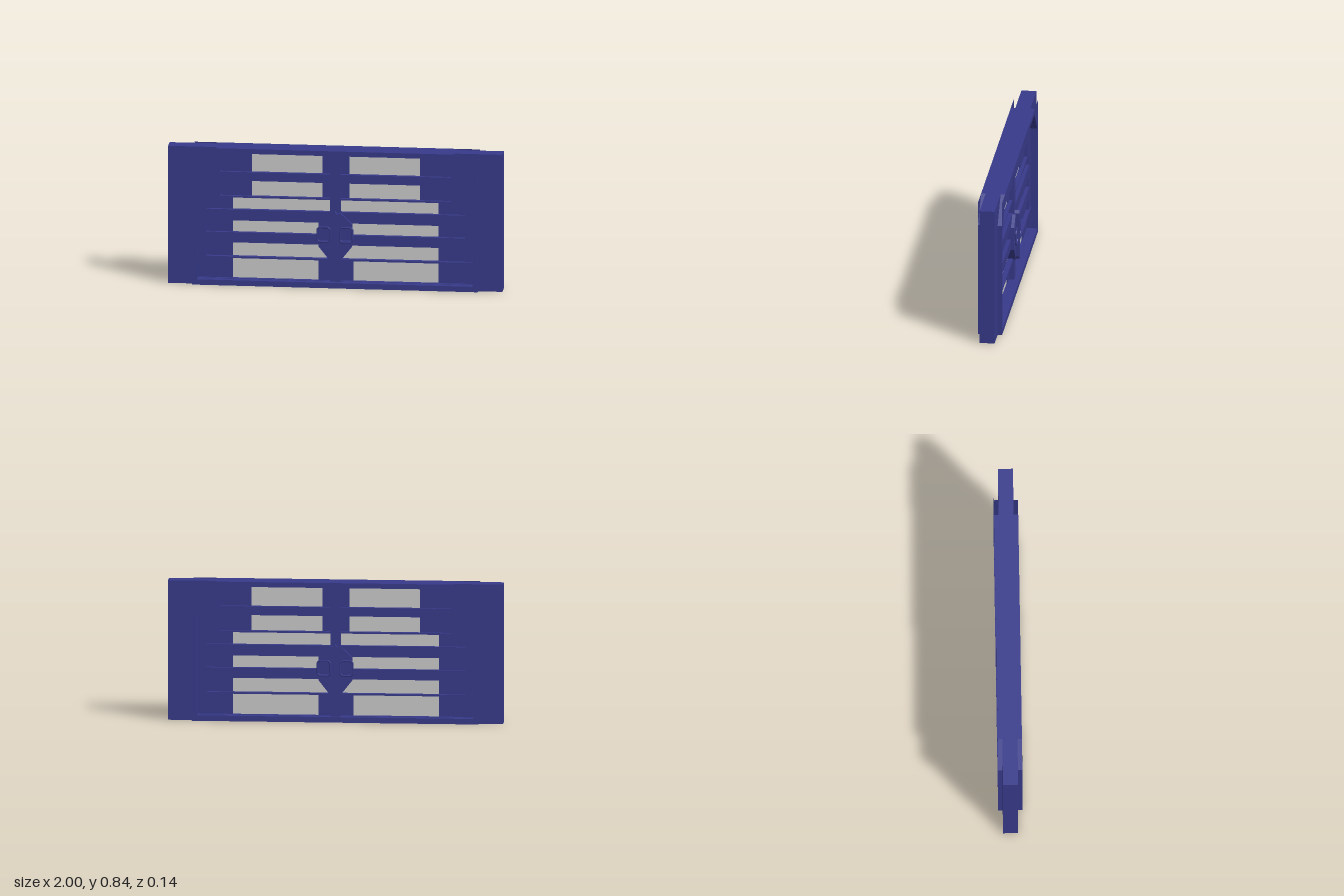
import * as THREE from 'three';

const blue = new THREE.MeshStandardMaterial({ color: 0x373a8a });
const blueThin = new THREE.MeshStandardMaterial({ color: 0x373a8a, side: THREE.DoubleSide });
const grey = new THREE.MeshStandardMaterial({ color: 0xcccccc });

const rect = (x0, y0, x1, y1) => [[x0, y0], [x1, y0], [x1, y1], [x0, y1]];
// Upright outline with the two top corners cut off
const cutTop = (w, y0, yCut, wTop, y1) =>
  [[-w, y0], [w, y0], [w, yCut], [wTop, y1], [-wTop, y1], [-w, yCut]];
const toShape = (pts) => new THREE.Shape(pts.map(([x, y]) => new THREE.Vector2(x, y)));

export function createModel() {
  const model = new THREE.Group();

  function add(name, geometry, material = blue, parent = model) {
    const mesh = new THREE.Mesh(geometry, material);
    mesh.name = name;
    parent.add(mesh);
    return mesh;
  }
  // Plate from z0 to z1 with holes
  function plate(name, pts, holes, z0, z1, parent) {
    const shape = toShape(pts);
    shape.holes = holes.map(toShape);
    const g = new THREE.ExtrudeGeometry(shape, { depth: z1 - z0, bevelEnabled: false });
    g.translate(0, 0, z0);
    return add(name, g, blue, parent);
  }
  function box(name, x0, x1, y0, y1, z0, z1, material, parent) {
    const g = new THREE.BoxGeometry(x1 - x0, y1 - y0, z1 - z0);
    g.translate((x0 + x1) / 2, (y0 + y1) / 2, (z0 + z1) / 2);
    return add(name, g, material, parent);
  }

  // Side pillars with head and sill, then the thicker surround
  const opening = cutTop(0.825, 0.033, 0.67, 0.69, 0.81);
  plate('pillarFrame', rect(-1, 0, 1, 0.84), [opening], -0.045, 0.045);
  plate('surround', cutTop(0.855, 0, 0.695, 0.71, 0.84), [opening], -0.072, 0.072);

  // Rows: bottom, top, slot end, pane inner and outer ends
  const rows = [
    [0.687, 0.808, 0.69, 0.08, 0.503],
    [0.54, 0.634, 0.69, 0.08, 0.503],
    [0.457, 0.53, 0.775, 0.03, 0.615],
    [0.317, 0.39, 0.775, 0.03, 0.615],
    [0.17, 0.255, 0.775, 0.03, 0.615],
    [0.035, 0.16, 0.822, 0.105, 0.615],
  ];
  const slots = [], windows = [];
  for (const s of [-1, 1]) {
    for (const [y0, y1, end, in0, in1] of rows) {
      slots.push(rect(s * 0.028, y0, s * end, y1));
      windows.push(rect(s * in0, y0, s * in1, y1));
      const a = Math.min(s * in0, s * in1), b = Math.max(s * in0, s * in1);
      box('windowPane', a, b, y0, y1, -0.003, 0.003, grey);
    }
  }
  const panel = cutTop(0.835, 0.02, 0.675, 0.695, 0.82);
  plate('slattedPanel', panel, slots, -0.03, 0.03);
  plate('backingPlate', panel, windows, -0.01, 0.01);
  box('centrePost', -0.03, 0.03, 0.02, 0.82, -0.04, 0.04);

  // Details repeated on both faces
  for (const turn of [0, Math.PI]) {
    const face = new THREE.Group();
    face.name = turn ? 'backDetails' : 'frontDetails';
    face.rotation.y = turn;
    model.add(face);

    for (const s of [-1, 1]) {
      // Thin corner gussets over the cut corners
      const corner = [[0.71, 0.84], [0.855, 0.695], [0.855, 0.84]].map(([x, y]) => [s * x, y]);
      const gusset = add('cornerGusset', new THREE.ShapeGeometry(toShape(corner)), blueThin, face);
      gusset.position.z = 0.072;

      // Thin ledge above the bottom row
      box('ledge', s > 0 ? 0.03 : -0.825, s > 0 ? 0.825 : -0.03, 0.16, 0.17, 0.01, 0.035, blue, face);

      // Ring handle
      const ring = rect(s * 0.03, 0.28, s * 0.105, 0.37);
      const cut = 0.012, path = [];
      ring.forEach(([x, y], i) => {
        const dx = Math.sign(0.0675 - Math.abs(x)) * s * cut, dy = Math.sign(0.325 - y) * cut;
        const pair = [[x + dx, y], [x, y + dy]];
        if (i % 2 === 0) pair.reverse();
        path.push(...pair);
      });
      const curve = new THREE.CurvePath();
      const pts = path.map(([x, y]) => new THREE.Vector3(x, y, 0.06));
      pts.forEach((p, i) => curve.add(new THREE.LineCurve3(p, pts[(i + 1) % pts.length])));
      add('ringHandle', new THREE.TubeGeometry(curve, 64, 0.006, 6, true), blue, face);
    }

    // Lock plate with recessed grips and a central ridge
    const lock = [[-0.03, 0.162], [0.03, 0.162], [0.1, 0.25], [0.1, 0.39], [0.035, 0.452],
      [-0.035, 0.452], [-0.1, 0.39], [-0.1, 0.25]];
    const grips = [-1, 1].map((s) => rect(s * 0.036, 0.286, s * 0.092, 0.364));
    plate('lockPlate', lock, grips, 0, 0.05, face);
    plate('lockBase', lock, [], 0, 0.035, face);
    const ridge = [[0, 0.158], [0.014, 0.175], [0.014, 0.45], [0, 0.467], [-0.014, 0.45], [-0.014, 0.175]];
    plate('lockRidge', ridge, [], 0.04, 0.07, face);
  }
  return model;
}
